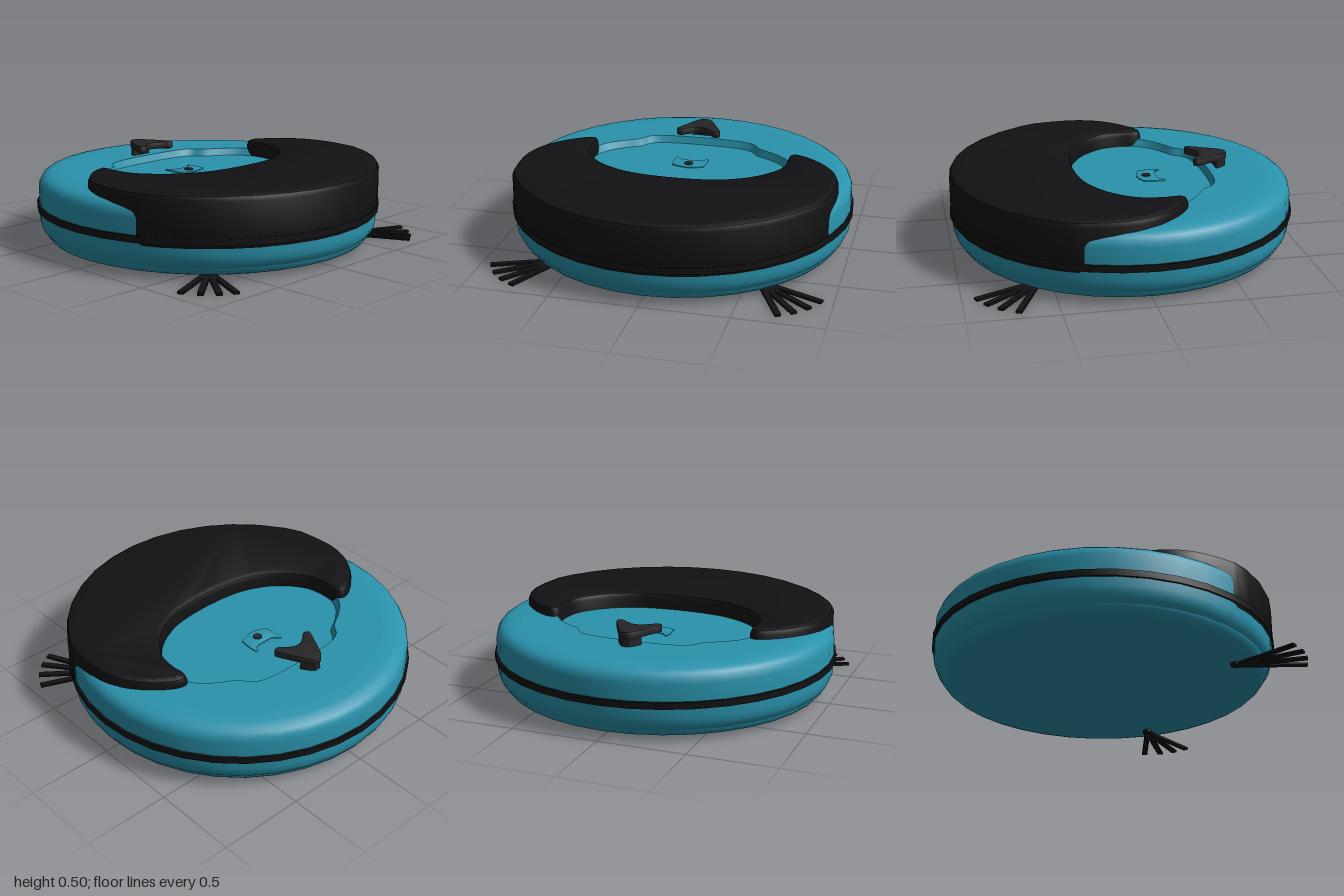
import * as THREE from 'three';
import { toCreasedNormals } from 'three/addons/utils/BufferGeometryUtils.js';

const TEAL = new THREE.MeshStandardMaterial({ color: 0x2a93ad });
const BLACK = new THREE.MeshStandardMaterial({ color: 0x121214 });
const CHARCOAL = new THREE.MeshStandardMaterial({ color: 0x252527 });
const SIDES = 36;

// Right half of an outline as [x, z], both ends near x = 0; returns the closed outline
const mirror = half => {
  const other = half.filter(p => p[0] > 0.001).map(([x, z]) => [-x, z]).reverse();
  return [...half, ...other];
};

// Smooth curve through a few [x, z] points
const smooth = (pts, n) => new THREE.SplineCurve(pts.map(p => new THREE.Vector2(...p)))
  .getPoints(n).map(p => [p.x, p.y]);

const toVectors = pts => pts.map(([x, z]) => new THREE.Vector2(x, -z));

function add(group, name, geometry, material) {
  const mesh = new THREE.Mesh(geometry, material);
  mesh.name = name;
  group.add(mesh);
  return mesh;
}

// Upright slab over a plan outline, from y0 to y1, with rounded rims
function slab(pts, y0, y1, bevel) {
  const g = new THREE.ExtrudeGeometry(new THREE.Shape(toVectors(pts)), {
    depth: y1 - y0 - 2 * bevel, bevelEnabled: bevel > 0, bevelThickness: bevel,
    bevelSize: bevel, bevelOffset: -bevel, bevelSegments: 2,
  });
  g.rotateX(-Math.PI / 2).translate(0, y0 + bevel, 0);
  return toCreasedNormals(g, 0.6);
}

// Flat sheet over a plan outline at height y
function sheet(pts, y, hole) {
  const shape = new THREE.Shape(toVectors(pts));
  if (hole) shape.holes.push(new THREE.Path(toVectors(hole)));
  return new THREE.ShapeGeometry(shape).rotateX(-Math.PI / 2).translate(0, y, 0);
}

const lathe = pts => toCreasedNormals(
  new THREE.LatheGeometry(pts.map(p => new THREE.Vector2(...p)), SIDES), 0.6);

// Sloping wall between two matching outlines
function slope(top, yTop, bottom, yBottom) {
  const pos = [], index = [], n = top.length;
  for (let i = 0; i < n; i++) {
    pos.push(top[i][0], yTop, top[i][1], bottom[i][0], yBottom, bottom[i][1]);
    const a = 2 * i, b = 2 * ((i + 1) % n);
    index.push(a, b, a + 1, b, b + 1, a + 1);
  }
  const g = new THREE.BufferGeometry();
  g.setAttribute('position', new THREE.Float32BufferAttribute(pos, 3));
  g.setIndex(index);
  g.computeVertexNormals();
  return g;
}

function sideBrush(side) {
  const brush = new THREE.Group();
  brush.name = side > 0 ? 'leftBrush' : 'rightBrush';
  for (const degrees of [23, 38, 52, 65]) {
    const g = new THREE.BoxGeometry(0.4, 0.014, 0.034).translate(0.2, 0.007, 0);
    add(brush, 'bristle', g, BLACK).rotation.y = -THREE.MathUtils.degToRad(side > 0 ? degrees : 180 - degrees);
  }
  add(brush, 'brushHub', new THREE.CylinderGeometry(0.03, 0.03, 0.02, 16).translate(0, 0.012, 0), BLACK);
  brush.position.set(0.57 * side, 0, 0.565);
  return brush;
}

export function createModel() {
  const model = new THREE.Group();
  model.name = 'robotVacuum';

  // Round housing: stepped base, lower shell and rounded upper shell
  add(model, 'base', lathe([[0, 0.018], [0.89, 0.018], [0.925, 0.03], [0.945, 0.05], [0.95, 0.066], [0.9, 0.068]]), TEAL);
  add(model, 'lowerShell', lathe([[0.9, 0.066], [0.95, 0.066], [0.968, 0.085], [0.982, 0.115], [0.987, 0.15], [0.987, 0.21]]), TEAL);
  add(model, 'upperShell', lathe([[0.987, 0.21], [0.987, 0.33], [0.982, 0.357], [0.967, 0.383],
    [0.942, 0.4], [0.9, 0.409], [0.84, 0.413]]), TEAL);
  add(model, 'bumperBand', lathe([[0.97, 0.2], [1, 0.2], [1, 0.238], [0.97, 0.238]]), BLACK);

  // Top deck with a shallow basin
  const rim = mirror([[0, -0.517], ...smooth([[0.1, -0.517], [0.25, -0.503], [0.33, -0.47], [0.38, -0.405],
    [0.47, -0.35], [0.55, -0.285], [0.595, -0.215], [0.64, -0.1], [0.61, 0.05], [0.47, 0.21],
    [0.3, 0.29], [0.12, 0.325]], 44), [0, 0.33]]);
  const floor = rim.map(([x, z]) => [x * 0.96, -0.1 + (z + 0.1) * 0.96]);
  const circle = Array.from({ length: SIDES }, (_, i) => {
    const a = i * 2 * Math.PI / SIDES;
    return [0.84 * Math.sin(a), 0.84 * Math.cos(a)];
  });
  const deckY = 0.413, floorY = 0.372;
  add(model, 'deck', sheet(circle, deckY, rim), TEAL);
  const wall = add(model, 'basinWall', slope(rim, deckY, floor, floorY), TEAL);
  wall.material = TEAL.clone();
  wall.material.side = THREE.DoubleSide;
  add(model, 'basinFloor', sheet(floor, floorY), TEAL);

  // Raised crescent cover wrapping round the front
  const arc = [0, 10, 20, 30, 40, 50, 60].map(d => {
    const a = THREE.MathUtils.degToRad(d);
    return [0.996 * Math.sin(a), 0.996 * Math.cos(a)];
  });
  const arm = smooth([[0.908, 0.4], [0.928, 0.25], [0.927, 0.12], [0.895, 0], [0.835, -0.1], [0.75, -0.185],
    [0.66, -0.243], [0.605, -0.245], [0.584, -0.2], [0.588, -0.1], [0.56, 0.02], [0.45, 0.15],
    [0.3, 0.235], [0.15, 0.268], [0, 0.276]], 56);
  add(model, 'frontCover', slab(mirror([...arc, ...arm]), 0.17, 0.47, 0.035), BLACK);

  // Arrow-shaped handle on a short stem behind the basin
  const handle = mirror([[0, -0.64], ...smooth([[0.02, -0.637], [0.05, -0.605], [0.09, -0.53], [0.132, -0.445],
    [0.128, -0.42], [0.1, -0.415], [0.07, -0.44], [0.03, -0.467]], 24), [0, -0.472]]);
  add(model, 'handle', slab(handle, 0.455, 0.498, 0.008), CHARCOAL).position.x = -0.012;
  const stem = mirror([[0, -0.635], [0.02, -0.632], [0.045, -0.605], [0.068, -0.565], [0, -0.565]]);
  add(model, 'handleStem', slab(stem, 0.4, 0.465, 0), CHARCOAL).position.x = -0.012;

  // Start button with a round indicator
  const button = mirror([[0, -0.215], [0.05, -0.215], [0.07, -0.225], [0.085, -0.25], [0.1, -0.25], [0.103, -0.2],
    [0.095, -0.125], [0.05, -0.105], [0, -0.095]]);
  add(model, 'startButton', slab(button, 0.36, 0.378, 0.002), TEAL).position.x = -0.005;
  add(model, 'indicator', new THREE.CylinderGeometry(0.026, 0.026, 0.02, 20).translate(-0.005, 0.373, -0.155), CHARCOAL);

  // Side brushes under the front corners
  for (const side of [1, -1]) model.add(sideBrush(side));
  return model;
}
